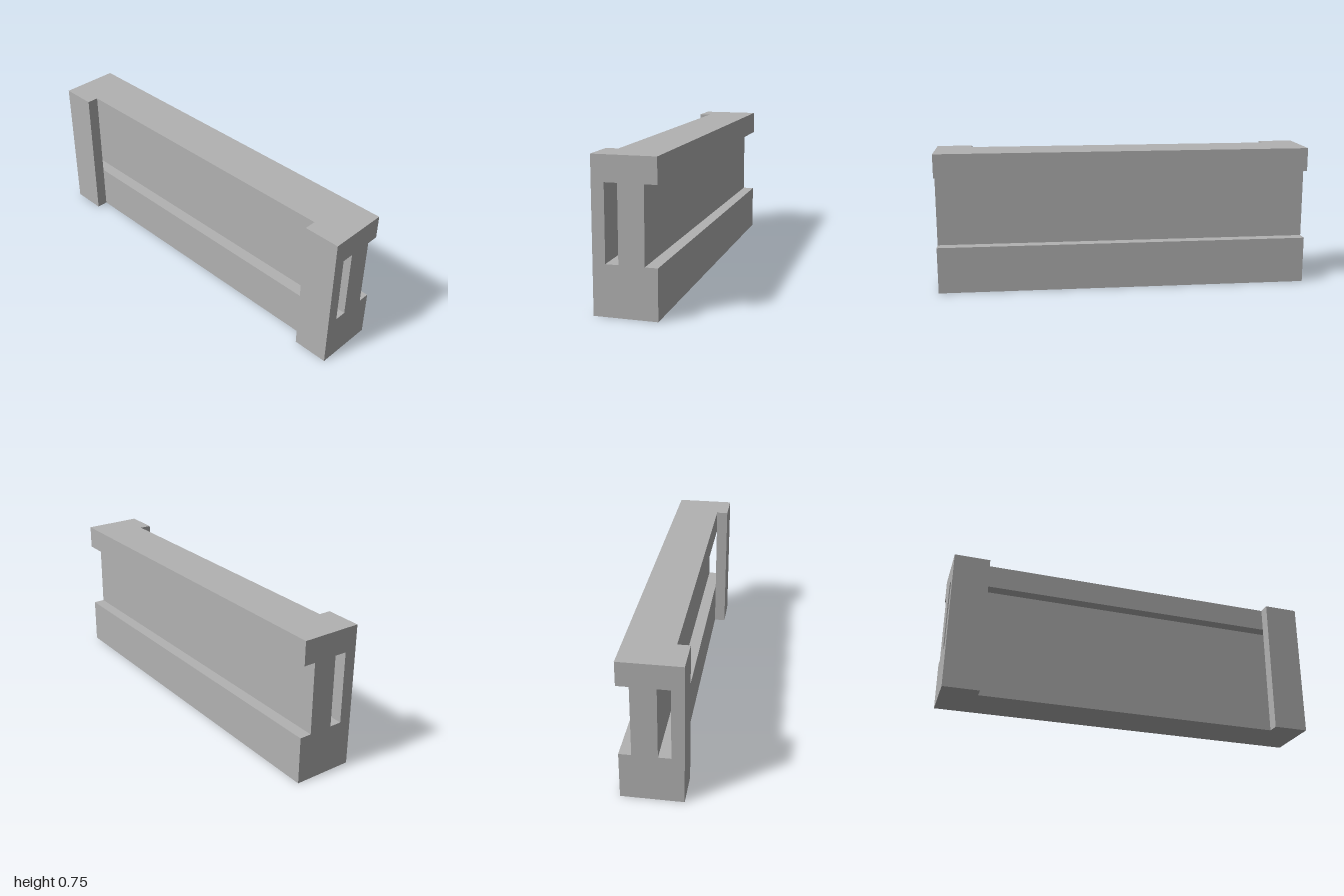
import * as THREE from 'three';

const H = 0.75, BACK = -0.156, FACE = 0.094, FRONT = 0.156;
const SLOT_LOW = 0.25, SLOT_HIGH = 0.625, WEB_BACK = -0.094, WEB_FRONT = 0.031;
const POST_W = 0.1875;

export function createModel() {
  const group = new THREE.Group();
  group.name = 'barrier';
  const concrete = new THREE.MeshStandardMaterial({ color: 0xb2b2b2 });
  concrete.name = 'concrete grey';

  // I-shaped cross-section as [z, y], run along the full length
  const profile = [
    [FACE, 0], [BACK, 0], [BACK, SLOT_LOW], [WEB_BACK, SLOT_LOW],
    [WEB_BACK, SLOT_HIGH], [BACK, SLOT_HIGH], [BACK, H], [FACE, H],
    [FACE, SLOT_HIGH], [WEB_FRONT, SLOT_HIGH], [WEB_FRONT, SLOT_LOW], [FACE, SLOT_LOW],
  ];
  const shape = new THREE.Shape(profile.map(([z, y]) => new THREE.Vector2(-z, y)));
  const beamGeometry = new THREE.ExtrudeGeometry(shape, { depth: 2, bevelEnabled: false });
  beamGeometry.translate(0, 0, -1).rotateY(Math.PI / 2);
  const beam = new THREE.Mesh(beamGeometry, concrete);
  beam.name = 'beam';
  group.add(beam);

  // End posts bridge the front channel, leaving a slot open at each end
  for (const side of [-1, 1]) {
    const post = new THREE.Mesh(new THREE.BoxGeometry(POST_W, H, FRONT - FACE), concrete);
    post.position.set(side * (1 - POST_W / 2), H / 2, (FRONT + FACE) / 2);
    post.name = side > 0 ? 'leftEndPost' : 'rightEndPost';
    group.add(post);
  }
  return group;
}
